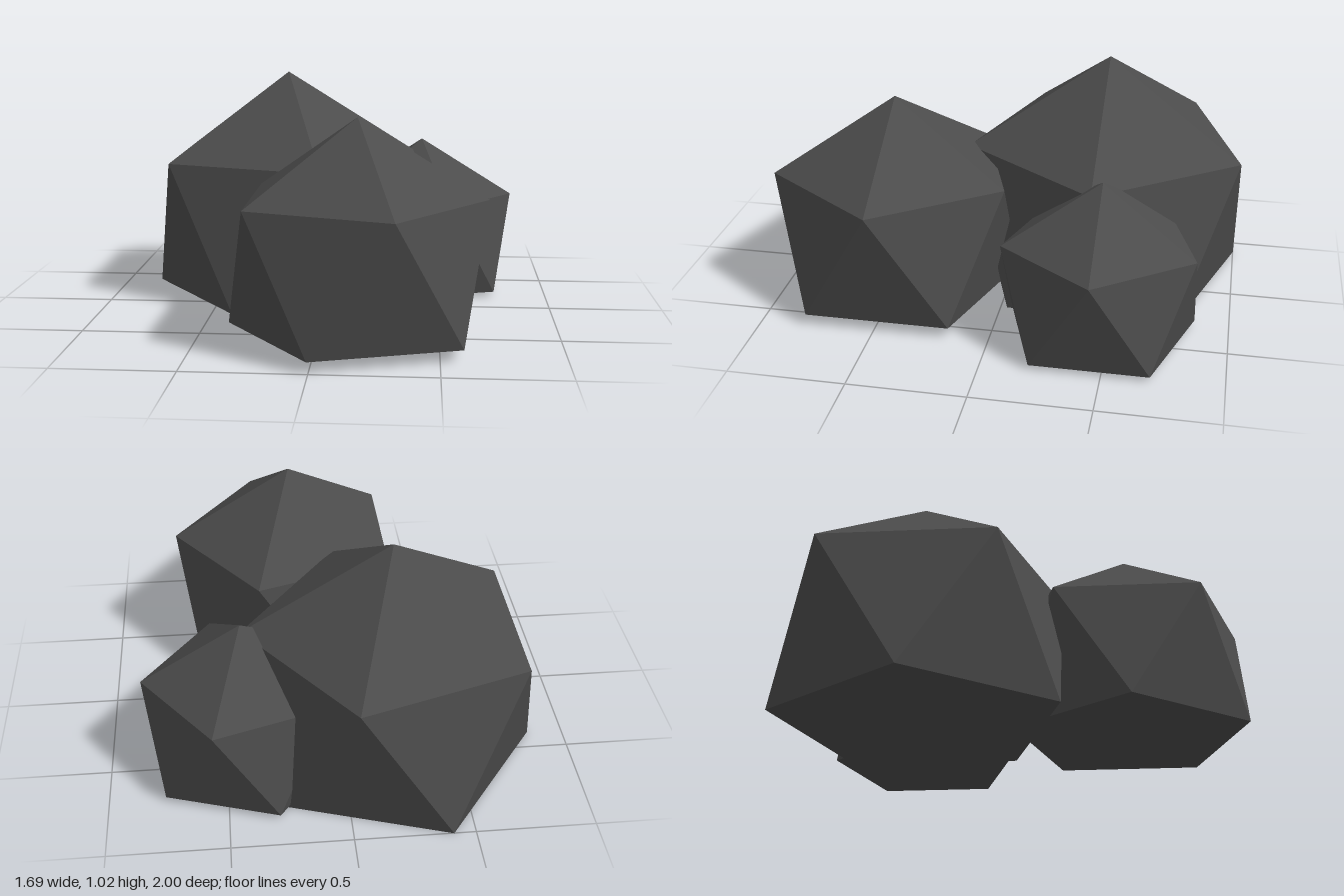
import * as THREE from 'three';

const stone = new THREE.MeshStandardMaterial({ color: 0x4c4c4c });
stone.name = 'darkStone';

// Regular icosahedron of radius R standing on its lower ring, with the bottom cap cut flat
function boulderGeometry(R) {
  const r = R * 2 / Math.sqrt(5);
  const rise = R / Math.sqrt(5);
  const ring = (y, turn) => Array.from({ length: 5 }, (_, i) => {
    const a = (i + turn) * Math.PI * 2 / 5;
    return [r * Math.cos(a), y, -r * Math.sin(a)];
  });
  const low = ring(0, 0.5);
  const high = ring(2 * rise, 0);
  const apex = [0, rise + R, 0];
  const base = [0, 0, 0];
  const points = [];
  for (let i = 0; i < 5; i++) {
    const j = (i + 1) % 5;
    points.push(
      apex, high[i], high[j],   // crown
      high[i], low[i], high[j], // side, pointing down
      low[i], low[j], high[j],  // side, pointing up
      base, low[j], low[i],     // flat underside
    );
  }
  const geometry = new THREE.BufferGeometry();
  geometry.setAttribute('position', new THREE.Float32BufferAttribute(points.flat(), 3));
  geometry.computeVertexNormals(); // unshared corners give flat facets
  return geometry;
}

export function createModel() {
  const group = new THREE.Group();
  group.name = 'rockCluster';
  const addBoulder = (name, R, x, y, z) => {
    const mesh = new THREE.Mesh(boulderGeometry(R), stone);
    mesh.name = name;
    mesh.position.set(x, y, z);
    group.add(mesh);
  };
  addBoulder('largeBoulder', 0.707, -0.213, 0, -0.4);
  addBoulder('frontBoulder', 0.6, 0.159, 0.047, 0.487);
  addBoulder('smallBoulder', 0.473, 0.42, 0.019, -0.45);
  return group;
}
